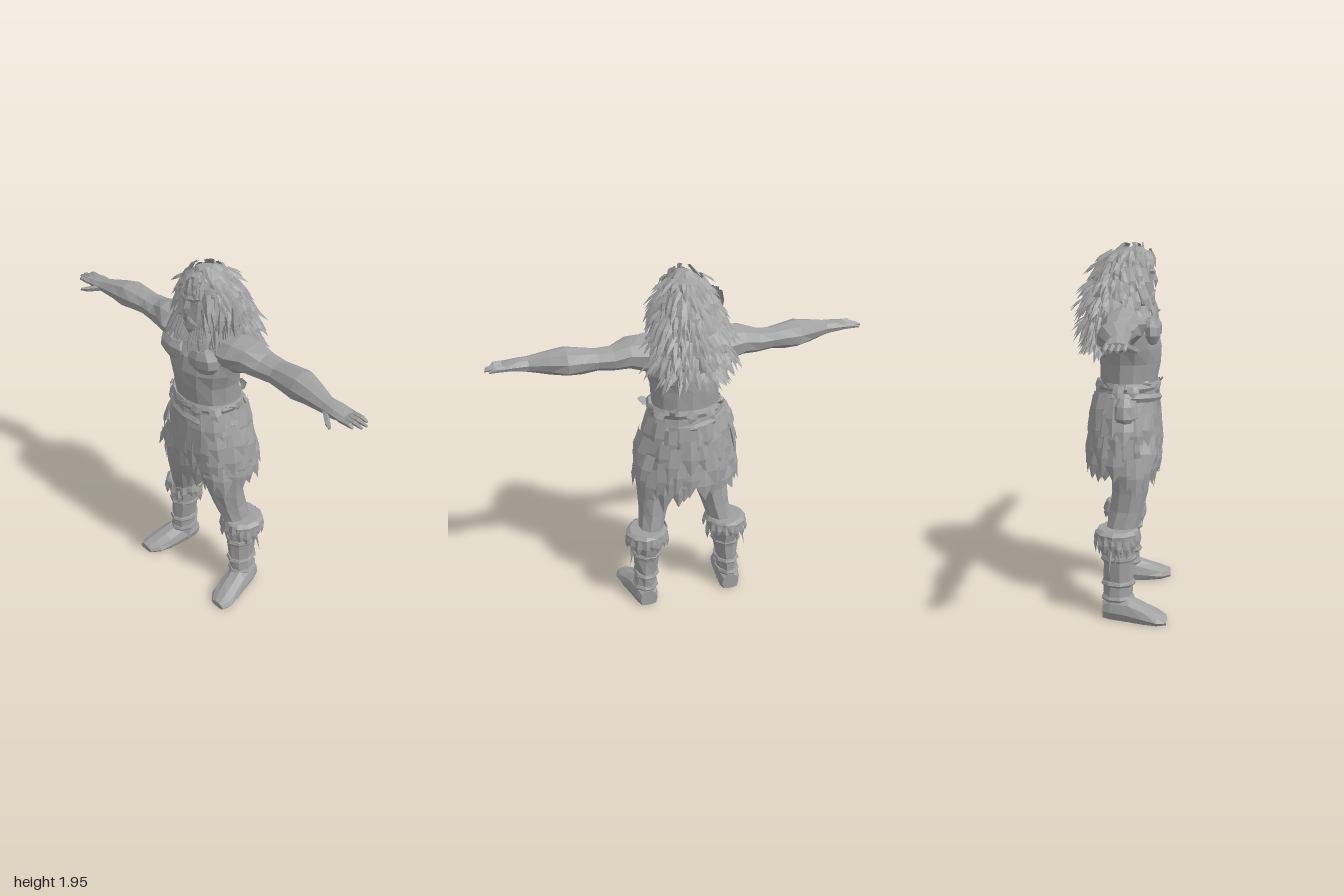
import * as THREE from 'three';

const V = (x, y, z) => new THREE.Vector3(x, y, z);
let seed = 7;
const rnd = () => (seed = (seed * 16807) % 2147483647) / 2147483647;
const vary = (a) => (rnd() * 2 - 1) * a;

// Closed skin over elliptical rings [position, u, v, radiusU, radiusV] along an axis.
// The (u, v) pairs are z,x for 'y'; y,z for 'x'; x,y for 'z'.
function loft(axis, rings, sides = 10, rough = 0.05, floor = -1) {
  const pos = [], idx = [];
  const put = (p, u, v) => {
    const q = axis === 'y' ? [v, p, u] : axis === 'x' ? [p, u, v] : [u, v, p];
    q[1] = Math.max(floor, q[1]);
    pos.push(...q);
  };
  rings.forEach(([p, u, v, ru, rv]) => {
    for (let j = 0; j < sides; j++) {
      const a = (j / sides) * Math.PI * 2, k = 1 + vary(rough);
      put(p, u + Math.cos(a) * ru * k, v + Math.sin(a) * rv * k);
    }
  });
  const last = rings.length - 1;
  for (let i = 0; i < last; i++) for (let j = 0; j < sides; j++) {
    const a = i * sides + j, b = i * sides + (j + 1) % sides;
    idx.push(a, b, a + sides, b, b + sides, a + sides);
  }
  const c0 = pos.length / 3;
  put(...rings[0]);
  put(...rings[last]);
  for (let j = 0; j < sides; j++) {
    const n = (j + 1) % sides;
    idx.push(c0, n, j, c0 + 1, last * sides + j, last * sides + n);
  }
  const g = new THREE.BufferGeometry();
  g.setAttribute('position', new THREE.Float32BufferAttribute(pos, 3));
  g.setIndex(idx);
  g.computeVertexNormals();
  return g;
}

// Ridged, pointed blade used for hair locks, hide strips and fur.
function blade(out, base, tip, width, outward, bulge = 0.015) {
  const across = outward.clone().cross(tip.clone().sub(base)).normalize().multiplyScalar(width / 2);
  const mid = base.clone().lerp(tip, 0.5);
  const ridge = mid.clone().addScaledVector(outward, bulge);
  const bl = base.clone().sub(across), br = base.clone().add(across);
  const ml = mid.clone().sub(across), mr = mid.clone().add(across);
  const top = base.clone().addScaledVector(outward, bulge * 0.6);
  for (const t of [bl, ml, top, ml, ridge, top, top, ridge, br, ridge, mr, br, ml, tip, ridge, ridge, tip, mr])
    out.push(t.x, t.y, t.z);
}

function bladeGeometry(out) {
  const g = new THREE.BufferGeometry();
  g.setAttribute('position', new THREE.Float32BufferAttribute(out, 3));
  g.computeVertexNormals();
  return g;
}

function mirrored(geo) {
  const g = geo.index ? geo.toNonIndexed() : geo.clone();
  g.scale(-1, 1, 1);
  const p = g.attributes.position;
  for (let i = 0; i < p.count; i += 3) {
    const a = V().fromBufferAttribute(p, i + 1), b = V().fromBufferAttribute(p, i + 2);
    p.setXYZ(i + 1, b.x, b.y, b.z);
    p.setXYZ(i + 2, a.x, a.y, a.z);
  }
  g.computeVertexNormals();
  return g;
}

export function createModel() {
  seed = 7;
  const group = new THREE.Group();
  const stone = new THREE.MeshStandardMaterial({ color: 0xa0a0a0, flatShading: true, side: THREE.DoubleSide });
  stone.name = 'stone grey';
  const add = (name, geo) => {
    const m = new THREE.Mesh(geo, stone);
    m.name = name;
    group.add(m);
    return m;
  };
  const pair = (name, geo) => {
    add(name + 'Left', geo);
    add(name + 'Right', mirrored(geo));
  };

  // Torso with pectorals and shoulder blades
  add('torso', loft('y', [[1.08, .03, 0, .15, .19], [1.24, .035, 0, .15, .18], [1.34, .04, 0, .16, .182],
    [1.42, .045, 0, .165, .205], [1.5, .035, 0, .155, .23], [1.57, .02, 0, .12, .24],
    [1.63, .01, 0, .085, .16], [1.7, .03, 0, .06, .075]], 14, 0.025));
  const pec = new THREE.SphereGeometry(1, 8, 5).scale(.105, .07, .05).rotateZ(.15).translate(.1, 1.5, .155);
  pair('pectoral', pec);
  pair('shoulderBlade', new THREE.SphereGeometry(1, 8, 5).scale(.1, .11, .045).translate(.11, 1.48, -.085));

  // Arms and hands
  pair('arm', loft('x', [[.1, 1.53, .02, .09, .11], [.22, 1.54, .02, .095, .115], [.3, 1.55, .015, .075, .1],
    [.38, 1.535, .012, .06, .075], [.46, 1.535, .01, .055, .068], [.54, 1.54, .012, .065, .078],
    [.61, 1.54, .015, .07, .083], [.69, 1.54, .03, .058, .066], [.79, 1.537, .05, .04, .046],
    [.85, 1.54, .055, .03, .052], [.91, 1.54, .055, .018, .05]], 9, 0.08));
  for (let i = 0; i < 4; i++) {
    const z = .015 + i * .027, end = [.98, 1, .995, .965][i];
    pair('finger' + (i + 1), loft('x', [[.89, 1.54, z, .014, .013], [.95, 1.54, z, .013, .012],
      [end, 1.532, z, .006, .006]], 5, 0.05));
  }
  pair('thumb', loft('x', [[.8, 1.53, .08, .018, .02], [.85, 1.52, .125, .016, .018], [.885, 1.515, .148, .008, .009]], 5, 0));

  // Legs, boots and feet
  pair('leg', loft('y', [[.4, 0, .225, .075, .065], [.5, .02, .2, .085, .072], [.58, .04, .183, .09, .078],
    [.68, .055, .165, .1, .095], [.8, .06, .15, .11, .115], [1, .05, .12, .12, .12]], 9, 0.05));
  pair('boot', loft('y', [[.02, 0, .255, .08, .062], [.12, 0, .25, .08, .062], [.2, 0, .245, .078, .06],
    [.3, -.002, .235, .08, .072], [.4, -.005, .235, .092, .085], [.46, -.005, .232, .1, .092]], 9, 0.07));
  pair('foot', loft('z', [[-.08, .25, .04, .05, .06], [-.04, .252, .045, .066, .08], [.06, .268, .04, .075, .085],
    [.14, .285, .03, .08, .06], [.21, .3, .02, .075, .04], [.26, .312, .015, .045, .022]], 10, 0.03, 0));
  pair('bootCuff', loft('y', [[.415, -.005, .232, .094, .09], [.435, -.005, .232, .112, .112],
    [.475, -.005, .232, .114, .115], [.492, -.005, .23, .098, .1]], 11, 0.06));
  [[.1, .084, .067], [.18, .086, .068], [.32, .088, .08]].forEach(([y, rz, rx], i) =>
    pair('bootStrap' + (i + 1), loft('y', [[y, 0, .248 - i * .005, rz, rx],
      [y + .012, 0, .248 - i * .005, rz + .006, rx + .006], [y + .028, 0, .247 - i * .005, rz, rx]], 9, 0.04)));
  const fur = [];
  for (let i = 0; i < 18; i++) {
    const a = i / 18 * Math.PI * 2 + vary(.1), n = V(Math.sin(a), 0, Math.cos(a));
    const base = V(.232 + n.x * .108, .475 + vary(.02), -.005 + n.z * .108);
    blade(fur, base, base.clone().add(V(n.x * .01 + vary(.01), -.07 - rnd() * .04, n.z * .006)), .045, n);
  }
  for (let i = 0; i < 3; i++)
    blade(fur, V(.31, .42, -.03 + i * .03), V(.345 - i * .01, .27 + i * .04, -.04 + i * .03), .016, V(1, 0, 0), .008);
  pair('bootFur', bladeGeometry(fur));

  // Hide skirt: inner mass covered by ragged overlapping strips
  add('skirt', loft('y', [[.85, .015, 0, .17, .255], [.95, .015, 0, .185, .255], [1.06, .02, 0, .18, .24],
    [1.14, .03, 0, .17, .215], [1.22, .035, 0, .155, .19]], 16, 0.04));
  const strips = [];
  // [y, radiusX, radiusZ, count, length, flare]
  [[1.17, .205, .165, 18, .16, .05], [1.08, .24, .18, 20, .18, .035], [.99, .26, .185, 22, .19, .04],
    [.9, .27, .18, 24, .17, .03]].forEach(([y, rx, rz, count, len, flare], row) => {
    for (let i = 0; i < count; i++) {
      const a = (i + row * .5 + vary(.3)) / count * Math.PI * 2, n = V(Math.sin(a), 0, Math.cos(a));
      const front = n.z > .75;
      if (front && row < 2) continue; // smooth apron here
      const base = V(n.x * rx, y + vary(.03), .018 + n.z * rz);
      const f = flare * (.5 + rnd()) * (front ? .1 : 1);
      blade(strips, base, base.clone().add(V(n.x * f + vary(.025), -len * (.8 + rnd() * .45), n.z * f * .6)),
        .09 + rnd() * .025, n, .018);
    }
  });
  for (const [x, y] of [[-.14, .76], [-.07, .74], [-.01, .64], [.05, .69], [.12, .72]])
    blade(strips, V(x, .97, .19), V(x, y, .17), .1, V(0, 0, 1), .02);
  add('skirtStrips', bladeGeometry(strips));
  const apron = loft('y', [[.82, .14, .02, .06, .15], [.95, .14, .03, .075, .16], [1.1, .13, .03, .075, .15],
    [1.2, .12, .02, .065, .13]], 10, 0.03);
  add('apron', apron);

  // Belt, slanted sash and side pouch
  const ring = (rx, rz, thick) => new THREE.TorusGeometry(1, .1, 5, 16).rotateX(Math.PI / 2).scale(rx, thick * 10, rz);
  add('belt', ring(.188, .155, .026)).position.set(0, 1.22, .035);
  const sash = add('sash', ring(.205, .165, .022));
  sash.position.set(0, 1.15, .03);
  sash.rotation.z = -.12;
  add('pouch', loft('y', [[1.03, .03, -.235, .035, .02], [1.08, .03, -.235, .06, .045],
    [1.14, .03, -.225, .05, .04], [1.18, .03, -.21, .03, .025]], 8, 0.08));
  const trim = [];
  for (let i = 0; i < 14; i++) {
    const a = i / 14 * Math.PI * 2, n = V(Math.sin(a), 0, Math.cos(a));
    const base = V(n.x * .2, 1.235, .035 + n.z * .165);
    blade(trim, base, base.clone().add(V(n.x * .015 + vary(.04), (i % 3 ? -.06 : .025), n.z * .012)), .06, n, .01);
  }
  add('beltTrim', bladeGeometry(trim));

  // Head and face
  add('head', loft('y', [[1.6, .1, 0, .04, .035], [1.64, .08, 0, .085, .06], [1.7, .06, 0, .105, .078],
    [1.77, .05, 0, .11, .085], [1.83, .05, 0, .11, .085], [1.9, .04, 0, .08, .06]], 10, 0.02));
  const face = [];
  blade(face, V(0, 1.8, .155), V(0, 1.715, .17), .04, V(0, 0, 1), .022);
  blade(face, V(0, 1.685, .158), V(0, 1.6, .15), .06, V(0, 0, 1), .015);
  for (const s of [-1, 1]) {
    blade(face, V(0, 1.8, .165), V(s * .075, 1.81, .13), .03, V(0, 0, 1), .012);
    blade(face, V(s * .005, 1.705, .165), V(s * .055, 1.66, .14), .022, V(0, 0, 1), .012);
  }
  add('faceFeatures', bladeGeometry(face));

  // Mane: inner mass, layered locks swept from the crown, side locks and beard
  const mane = [[1.47, -.11, 0, .045, .13], [1.56, -.1, 0, .085, .185], [1.66, -.065, 0, .115, .185],
    [1.75, -.03, 0, .125, .155], [1.83, .01, 0, .13, .125], [1.89, .035, 0, .115, .09], [1.925, .05, 0, .05, .04]];
  add('mane', loft('y', mane, 14, 0.06));
  const locks = [];
  mane.forEach(([y, cz, , rz, rx], row) => {
    const count = [26, 34, 36, 34, 30, 24, 12][row];
    for (let pass = 0; pass < 2; pass++) for (let i = 0; i < count; i++) {
      const a = (i + pass * .5 + vary(.4)) / count * Math.PI * 2, n = V(Math.sin(a), 0, Math.cos(a));
      if (n.z > .55 && row < 5) continue; // leave the face clear
      const base = V(n.x * rx * .97, y + vary(.025), cz + n.z * rz * .97);
      const out = (.035 + rnd() * .05) * (n.z > .55 ? .5 : 1);
      const drop = (row < 1 ? .04 : row > 4 ? .035 : .06) + rnd() * .06;
      blade(locks, base, base.clone().add(V(n.x * out + vary(.02), -drop, n.z * out - .012)),
        .025 + rnd() * .02, n.clone().setY(.4).normalize(), .012);
    }
  });
  for (const s of [-1, 1]) for (let i = 0; i < 26; i++) {
    const t = rnd(), x = s * (.075 + t * .1), y = 1.84 - rnd() * .22;
    const base = V(x, y, .135 - t * .12);
    blade(locks, base, V(x + s * (.01 + rnd() * .045), y - .1 - rnd() * .07, base.z + .03 + vary(.02)),
      .03 + rnd() * .015, V(s * .5, 0, .87), .014);
  }
  for (let i = 0; i < 14; i++) {
    const x = -.13 + i * .02;
    blade(locks, V(x * .8, 1.635 + Math.abs(x) * .4, .14), V(x * 1.1 + vary(.02), 1.5 + rnd() * .06, .185), .035, V(0, 0, 1), .014);
  }
  for (let i = 0; i < 9; i++) {
    const x = -.08 + i * .02;
    blade(locks, V(x * .5, 1.92 - Math.abs(x) * .2, .1), V(x * 1.15, 1.84 - Math.abs(x) * .3, .165), .04, V(0, .4, .9), .012);
  }
  add('maneLocks', bladeGeometry(locks));

  return group;
}
